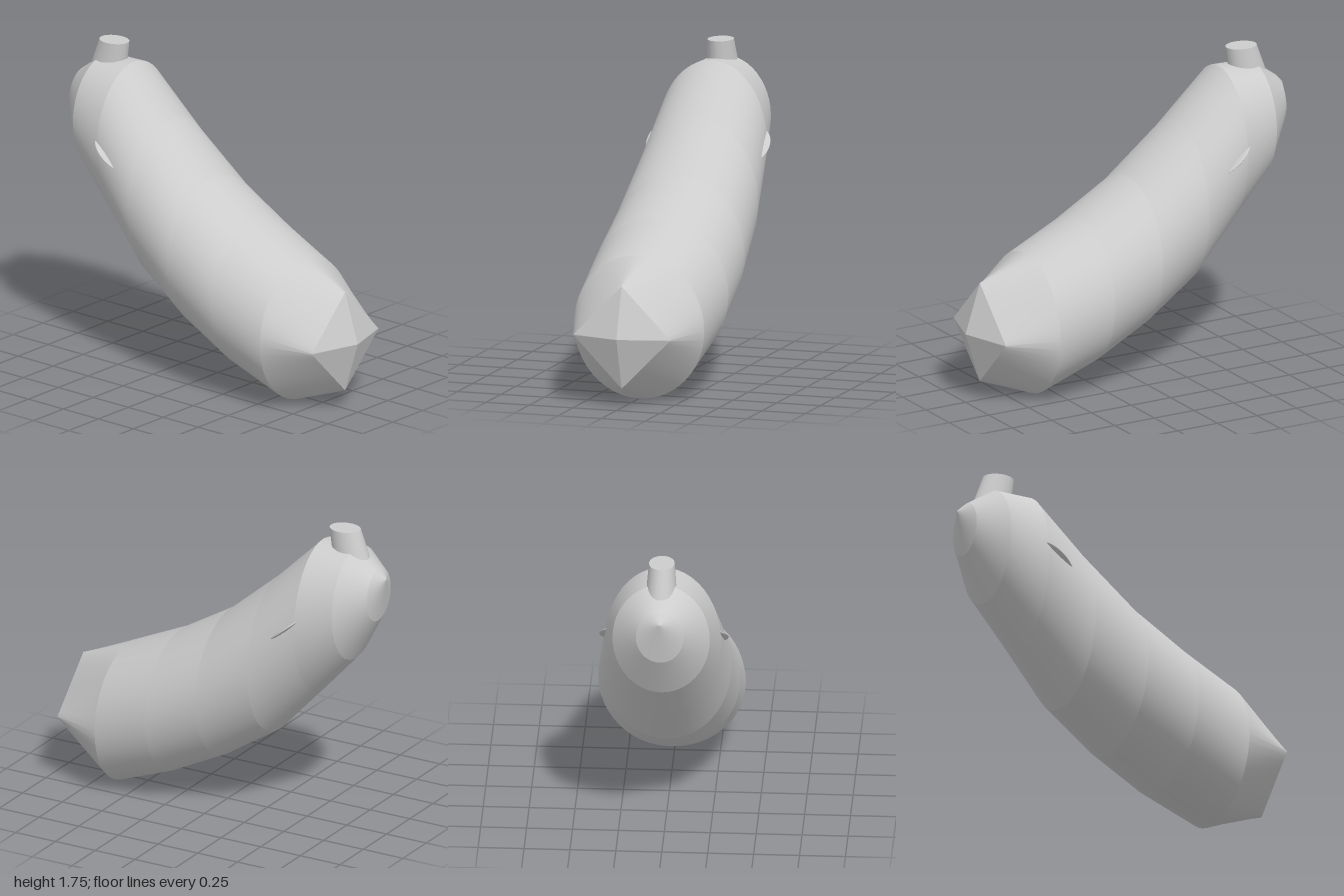
import * as THREE from 'three';
import { mergeGeometries } from 'three/addons/utils/BufferGeometryUtils.js';

const SEGMENTS = 48;

// Body sections from front to back: z, top y, bottom y, half width, power (1 = ellipse, 2 = diamond)
const SECTIONS = [
  [1.0, 0.39, 0.39, 0, 2],
  [0.91, 0.67, 0.105, 0.28, 2],
  [0.62, 0.79, 0.0, 0.375, 1],
  [0.29, 0.94, 0.125, 0.4, 1],
  [-0.02, 1.125, 0.28, 0.387, 1],
  [-0.33, 1.39, 0.48, 0.357, 1],
  [-0.6, 1.655, 0.77, 0.315, 1],
  [-0.81, 1.65, 1.0, 0.265, 1],
  [-0.95, 1.55, 1.25, 0.13, 1],
  [-1.0, 1.5, 1.5, 0, 1],
];

function ring([z, top, bottom, halfWidth, power]) {
  const points = [];
  const shape = (v) => Math.sign(v) * Math.abs(v) ** power;
  for (let i = 0; i < SEGMENTS; i++) {
    const a = (i / SEGMENTS) * Math.PI * 2;
    points.push(
      halfWidth * shape(Math.cos(a)),
      (top + bottom) / 2 + ((top - bottom) / 2) * shape(Math.sin(a)),
      z
    );
  }
  return points;
}

// One band between two sections: smooth around, creased at its ends
function band(front, back) {
  const index = [];
  for (let i = 0; i < SEGMENTS; i++) {
    const j = (i + 1) % SEGMENTS;
    index.push(i, i + SEGMENTS, j, j, i + SEGMENTS, j + SEGMENTS);
  }
  const geometry = new THREE.BufferGeometry();
  geometry.setAttribute('position', new THREE.Float32BufferAttribute([...ring(front), ...ring(back)], 3));
  geometry.setIndex(index);
  geometry.computeVertexNormals();
  return geometry;
}

export function createModel() {
  const model = new THREE.Group();
  model.name = 'curvedFruit';
  const grey = new THREE.MeshStandardMaterial({ name: 'light grey', color: 0xcccccc });

  const add = (name, geometry) => {
    const mesh = new THREE.Mesh(geometry, grey);
    mesh.name = name;
    model.add(mesh);
    return mesh;
  };

  // Curved body with a diamond-shaped nose
  const bands = SECTIONS.slice(1).map((section, i) => band(SECTIONS[i], section));
  add('body', mergeGeometries(bands));

  // Leaning oval stem with a level top
  const stem = new THREE.CylinderGeometry(0.07, 0.088, 0.2, 32);
  stem.scale(1, 1, 1.28);
  const p = stem.attributes.position;
  for (let i = 0; i < p.count; i++) p.setZ(i, p.getZ(i) + p.getY(i) * 0.25);
  stem.computeVertexNormals();
  add('stem', stem).position.set(0, 1.65, -0.765);

  // Thin slanted fins on both sides
  for (const side of [1, -1]) {
    const fin = add(side > 0 ? 'leftFin' : 'rightFin', new THREE.SphereGeometry(1, 32, 16));
    fin.scale.set(0.085, 0.013, 0.125);
    fin.position.set(side * 0.268, 1.21, -0.53);
    fin.rotation.x = 0.69;
  }

  return model;
}
